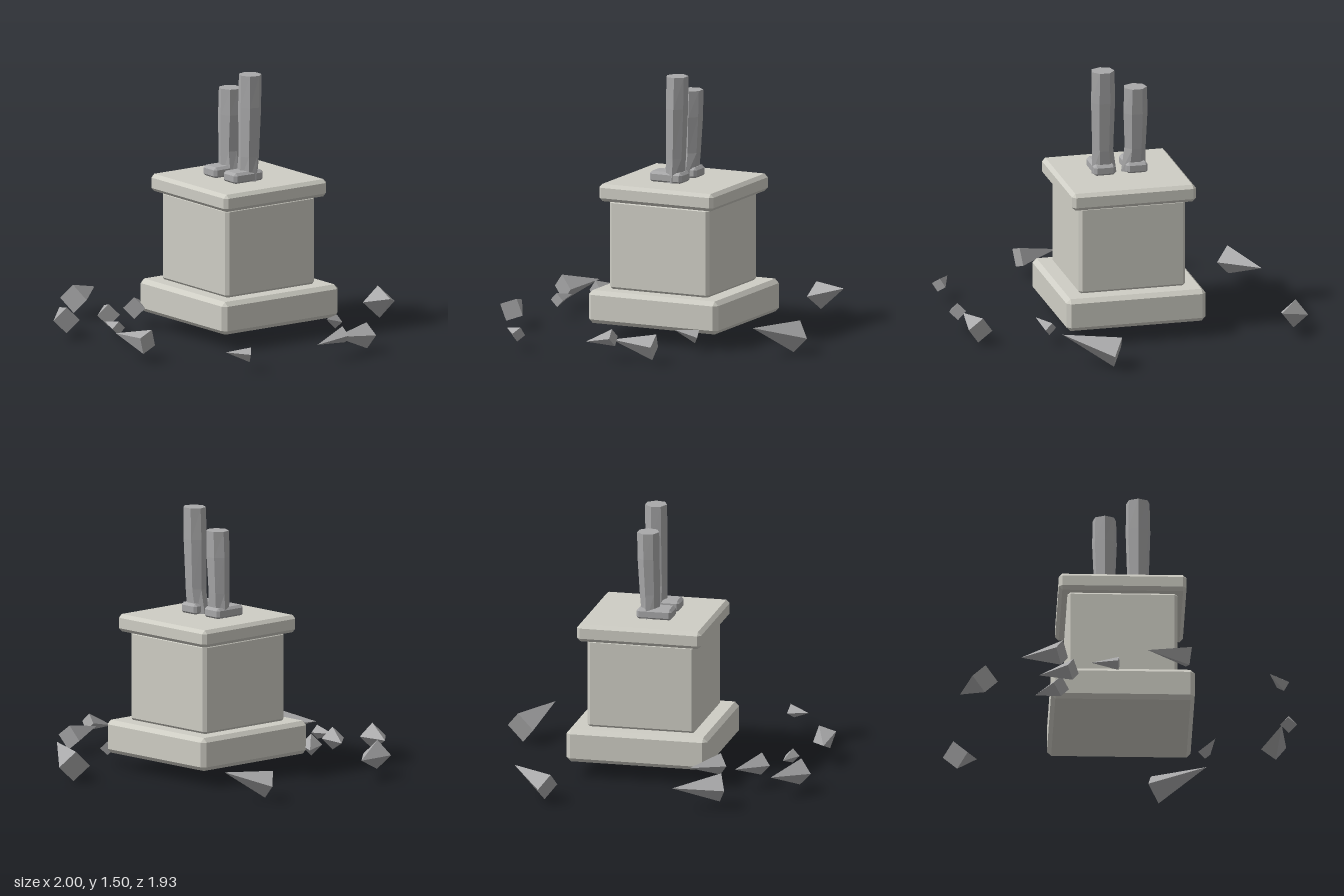
import * as THREE from 'three';
import { ConvexGeometry } from 'three/addons/geometries/ConvexGeometry.js';

const stone = new THREE.MeshStandardMaterial({ color: 0xcfcec5, flatShading: true });
const statue = new THREE.MeshStandardMaterial({ color: 0xa9a9aa, flatShading: true });

function addMesh(parent, name, geometry, material) {
  const mesh = new THREE.Mesh(geometry, material);
  mesh.name = name;
  parent.add(mesh);
  return mesh;
}

// Box with every edge chamfered by c, given as ranges along x, y and z
function chamferBox([x0, x1], [y0, y1], [z0, z1], c) {
  const half = [(x1 - x0) / 2, (y1 - y0) / 2, (z1 - z0) / 2];
  const points = [];
  for (const sx of [-1, 1]) for (const sy of [-1, 1]) for (const sz of [-1, 1]) {
    for (let axis = 0; axis < 3; axis++) {
      const inset = half.map((h, i) => (i === axis ? h : h - c));
      points.push(new THREE.Vector3(sx * inset[0], sy * inset[1], sz * inset[2]));
    }
  }
  return new ConvexGeometry(points).translate((x0 + x1) / 2, (y0 + y1) / 2, (z0 + z1) / 2);
}

// Seven-sided leg through rings of [y, centre x, centre z, radius x, radius z]
function legGeometry(rings) {
  const n = rings.length - 1;
  const geometry = new THREE.CylinderGeometry(1, 1, 1, 7, n);
  const p = geometry.attributes.position;
  for (let i = 0; i < p.count; i++) {
    const [y, cx, cz, rx, rz] = rings[Math.round((p.getY(i) + 0.5) * n)];
    p.setXYZ(i, cx + p.getX(i) * rx, y, cz + p.getZ(i) * rz);
  }
  geometry.computeVertexNormals();
  return geometry;
}

// Four-sided spike from the centre of its base to its tip, one base corner up
function addShard(parent, base, tip, radius, roll = 0) {
  const from = new THREE.Vector3(...base);
  const axis = new THREE.Vector3(...tip).sub(from);
  const length = axis.length();
  axis.normalize();
  const side = new THREE.Vector3().crossVectors(axis, new THREE.Vector3(0, 1, 0)).normalize();
  const up = new THREE.Vector3().crossVectors(side, axis);
  const frame = new THREE.Matrix4().makeBasis(side, axis, up);
  const geometry = new THREE.ConeGeometry(radius, length, 4);
  geometry.translate(0, length / 2, 0).rotateY(roll);
  const mesh = addMesh(parent, 'shard', geometry, statue);
  mesh.quaternion.setFromRotationMatrix(frame);
  mesh.position.copy(from);
}

export function createModel() {
  const model = new THREE.Group();
  model.name = 'brokenStatue';

  // Pedestal
  const pedestal = new THREE.Group();
  pedestal.name = 'pedestal';
  model.add(pedestal);
  addMesh(pedestal, 'plinth', chamferBox([-0.415, 0.4], [0.1, 0.29], [-0.47, 0.35], 0.024), stone);
  addMesh(pedestal, 'block', chamferBox([-0.32, 0.305], [0.285, 0.805], [-0.37, 0.26], 0.018), stone);
  addMesh(pedestal, 'cap', chamferBox([-0.37, 0.355], [0.8, 0.9], [-0.42, 0.305], 0.02), stone);

  // Broken legs with feet, one snapped off higher than the other
  for (const [side, cx, top] of [['right', -0.1, 1.4], ['left', 0.09, 1.51]]) {
    const inward = -Math.sign(cx) * 0.01;
    const rings = [
      [0.89, cx + inward, -0.05, 0.075, 0.05],
      [1.04, cx, -0.055, 0.063, 0.058],
      [0.9 + (top - 0.9) * 0.7, cx, -0.062, 0.072, 0.064],
      [top, cx, -0.065, 0.068, 0.064],
    ];
    addMesh(model, side + 'Leg', legGeometry(rings), statue);
    addMesh(model, side + 'Foot',
      chamferBox([cx - 0.064, cx + 0.06], [0.895, 0.96], [-0.12, 0.085], 0.015), statue);
  }

  // Fallen shards: base centre, tip, base radius, roll
  const shards = new THREE.Group();
  shards.name = 'shards';
  model.add(shards);
  const pieces = [
    [[0.21, 0.1, -0.885], [0.5, 0.185, -0.75], 0.092],
    [[-0.935, 0.1, -0.45], [-0.805, 0.18, -0.675], 0.08],
    [[0.475, 0.1, -0.385], [0.535, 0.14, -0.27], 0.04],
    [[0.867, 0.1, -0.31], [0.905, 0.13, -0.06], 0.074, 0.15],
    [[0.945, 0.15, -0.09], [0.935, 0.11, 0.09], 0.049],
    [[0.895, 0.105, 0.535], [0.815, 0.12, 0.65], 0.042, 0.2],
    [[0.35, 0.125, 0.855], [0.115, 0.14, 0.905], 0.073, 0.45],
    [[-0.37, 0.125, 0.89], [-0.6, 0.145, 0.77], 0.076],
    [[-0.045, 0.12, 0.765], [-0.2, 0.13, 0.745], 0.041],
    [[-0.3, 0.135, 0.645], [-0.49, 0.145, 0.535], 0.065],
    [[-0.36, 0.135, 0.42], [-0.505, 0.14, 0.275], 0.063],
    [[-0.795, 0.125, 0.525], [-0.93, 0.14, 0.275], 0.083],
  ];
  for (const [base, tip, radius, roll] of pieces) addShard(shards, base, tip, radius, roll);

  return model;
}
